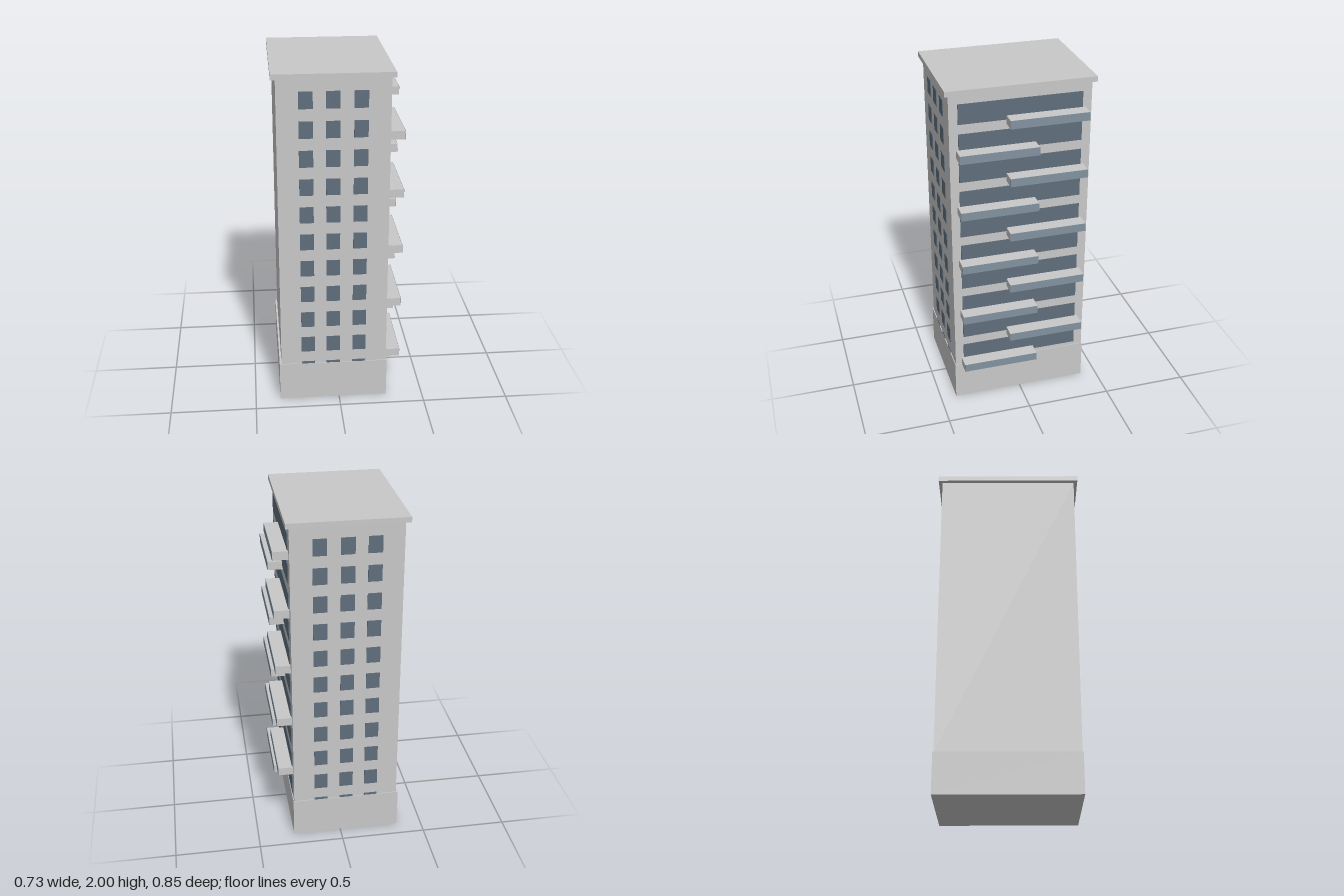
import * as THREE from 'three';

const concrete = new THREE.MeshStandardMaterial({ color: 0xc8c8c8 });
concrete.name = 'concrete';
const glass = new THREE.MeshStandardMaterial({ color: 0x5f6e7c });
glass.name = 'window glass';
const railing = new THREE.MeshStandardMaterial({ color: 0x82929f });
railing.name = 'balcony glass';

// Box given by its minimum and maximum on each axis
function block(name, material, [x0, x1], [y0, y1], [z0, z1]) {
  const mesh = new THREE.Mesh(new THREE.BoxGeometry(x1 - x0, y1 - y0, z1 - z0), material);
  mesh.position.set((x0 + x1) / 2, (y0 + y1) / 2, (z0 + z1) / 2);
  mesh.name = name;
  return mesh;
}

export function createModel() {
  const tower = new THREE.Group();
  tower.name = 'apartmentTower';

  // Main volumes
  tower.add(
    block('base', concrete, [-0.353, 0.284], [0, 0.237], [-0.406, 0.406]),
    block('walls', concrete, [-0.342, 0.279], [0.237, 1.97], [-0.401, 0.401]),
    block('roofSlab', concrete, [-0.368, 0.3], [1.97, 2], [-0.423, 0.423])
  );

  // Small windows on the front and back; the lowest row is cut off by the base
  const smallWindows = new THREE.Group();
  smallWindows.name = 'smallWindows';
  for (const side of [1, -1]) {
    for (let row = 0; row < 11; row++) {
      const top = 1.9 - row * 0.165;
      const bottom = Math.max(top - 0.096, 0.237);
      for (const x of [-0.183, -0.035, 0.117]) {
        const z = side > 0 ? [0.4, 0.405] : [-0.405, -0.4];
        smallWindows.add(block('smallWindow', glass, [x - 0.039, x + 0.039], [bottom, top], z));
      }
    }
  }
  tower.add(smallWindows);

  // Ribbon windows with balconies alternating from end to end
  for (let floor = 0; floor < 10; floor++) {
    const y = 0.237 + floor * 0.1712;
    const z = floor % 2 === 0 ? [-0.083, 0.364] : [-0.364, 0.083];
    const storey = new THREE.Group();
    storey.name = 'balconyFloor';
    storey.add(
      block('ribbonWindow', glass, [0.278, 0.284], [y + 0.024, y + 0.139], [-0.349, 0.351]),
      block('balcony', concrete, [0.279, 0.364], [y, y + 0.048], z),
      block('balconyGlass', railing, [0.364, 0.366], [y, y + 0.048], z)
    );
    tower.add(storey);
  }
  return tower;
}
